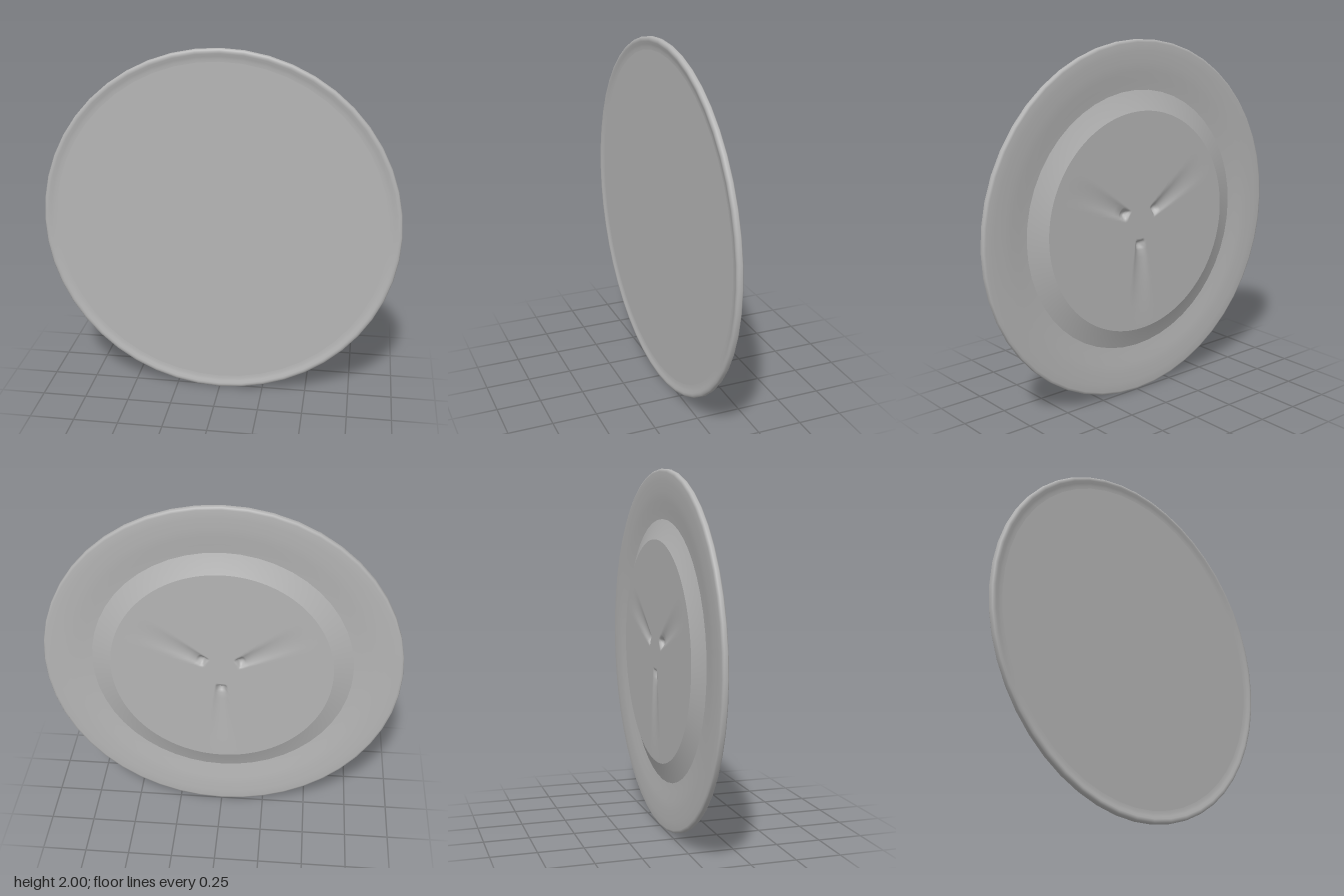
import * as THREE from 'three';

const SEGMENTS = 48;

// Revolve [radius, z] points (ordered along the outside of the section) about the z axis.
function revolve(name, points, material, segments = SEGMENTS) {
  const geometry = new THREE.LatheGeometry(
    points.map(([r, z]) => new THREE.Vector2(r, z)), segments, Math.PI);
  geometry.rotateX(Math.PI / 2);
  const mesh = new THREE.Mesh(geometry, material);
  mesh.name = name;
  return mesh;
}

// Piecewise linear lookup through [x, y] pairs.
function ramp(x, pairs) {
  for (let i = 1; i < pairs.length; i++) {
    const [x0, y0] = pairs[i - 1], [x1, y1] = pairs[i];
    if (x <= x1) return y0 + (y1 - y0) * Math.max(0, (x - x0) / (x1 - x0));
  }
  return pairs[pairs.length - 1][1];
}

// Depth of the three tapered notches pressed into the back plate.
function notchDepth(x, y) {
  const r = Math.hypot(x, y);
  const third = Math.PI * 2 / 3;
  let a = Math.atan2(y, x) + Math.PI / 2;
  a -= Math.round(a / third) * third;
  const across = Math.abs(r * Math.sin(a));
  const soft = (halfWidth) => Math.max(0, 1 - (across / halfWidth) ** 2);
  const pit = ramp(r, [[0.1, 0], [0.115, 0.018], [0.135, 0.018], [0.16, 0]]);
  const groove = ramp(r, [[0.1, 0], [0.115, 0.012], [0.16, 0.012], [0.55, 0]]);
  return pit * soft(0.03) + groove * soft(ramp(r, [[0.12, 0.035], [0.55, 0.08]]));
}

export function createModel() {
  const group = new THREE.Group();
  group.name = 'disc';
  const grey = new THREE.MeshStandardMaterial({ color: 0xb4b4b4 });
  grey.name = 'grey';

  const disc = new THREE.Group();
  disc.name = 'discBody';
  disc.position.y = 1;
  group.add(disc);

  // Raised back plate with three notches
  const radii = [0, 0.06, 0.09, 0.1, 0.107, 0.115, 0.125, 0.135, 0.147, 0.16,
    0.2, 0.25, 0.3, 0.36, 0.42, 0.48, 0.55, 0.62];
  const plate = revolve('backPlate', radii.map((r) => [r, -0.03]), grey, 144);
  const position = plate.geometry.attributes.position;
  for (let i = 0; i < position.count; i++) {
    position.setZ(i, -0.03 + notchDepth(position.getX(i), position.getY(i)));
  }
  plate.geometry.computeVertexNormals();
  disc.add(plate);

  // Bevel around the plate, running down into the groove
  disc.add(revolve('backBevel', [[0.62, -0.03], [0.675, -0.007], [0.73, 0.012]], grey));

  // Curved back band and rounded outer lip
  disc.add(revolve('rim', [
    [0.73, 0.012], [0.78, 0.007], [0.83, 0], [0.88, -0.004], [0.94, -0.006],
    [0.985, -0.006], [0.996, -0.002], [1, 0.004], [1, 0.02], [0.995, 0.027],
    [0.985, 0.03], [0.975, 0.029], [0.96, 0.024], [0.945, 0.021], [0.93, 0.02],
  ], grey));

  // Flat recessed front
  disc.add(revolve('frontFace', [[0.93, 0.02], [0, 0.02]], grey));

  return group;
}
